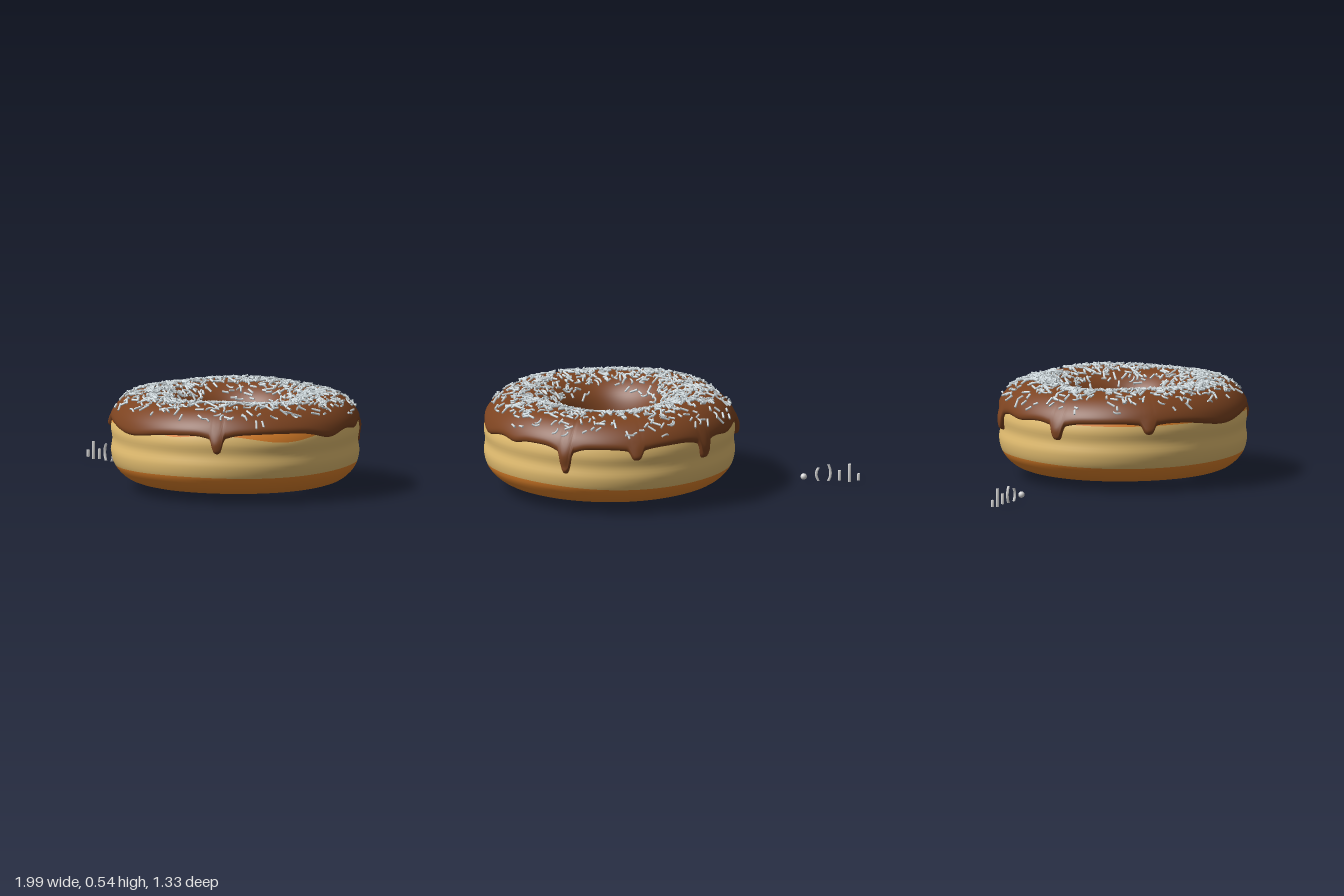
import * as THREE from 'three';
import { mergeGeometries } from 'three/addons/utils/BufferGeometryUtils.js';

const CX = 0.328; // ring centre in x
const DEG = Math.PI / 180;

// Closed dough section (radius, height): underside, outer wall, top, hole
const section = new THREE.CatmullRomCurve3([
  [0.45, 0.037], [0.56, 0.06], [0.63, 0.125], [0.652, 0.2], [0.645, 0.265], [0.652, 0.33],
  [0.625, 0.41], [0.55, 0.475], [0.45, 0.497], [0.36, 0.48], [0.285, 0.42], [0.25, 0.33],
  [0.245, 0.25], [0.26, 0.16], [0.31, 0.08], [0.38, 0.045],
].map(([r, y]) => new THREE.Vector3(r, y, 0)), true);
const N = 16;

// Point on the ring at section position k, angle a (0 = front, 90 deg = +x), lifted by off
function ringPoint(k, a, off = 0) {
  const t = (((k / N) % 1) + 1) % 1;
  const p = section.getPoint(t), d = section.getTangent(t);
  const r = p.x + d.y * off;
  const y = (p.y - d.x * off) * (1 - 0.01 * Math.cos(4 * a) - 0.006 * Math.sin(a));
  return new THREE.Vector3(CX + 1.018 * r * Math.sin(a), y, r * Math.cos(a));
}

// Surface from loops of points; columns wrap round the ring
function ringSurface(cols, rows, pointAt, groupOf) {
  const pos = [], buckets = [[], []];
  for (let j = 0; j <= rows; j++)
    for (let i = 0; i < cols; i++) pos.push(...pointAt(i / cols * Math.PI * 2, j).toArray());
  const wrapRows = !!groupOf; // a full section closes on itself
  for (let j = 0; j < rows; j++) {
    const up = wrapRows && j === rows - 1 ? 0 : j + 1;
    for (let i = 0; i < cols; i++) {
      const n = (i + 1) % cols;
      const a = j * cols + i, b = j * cols + n, c = up * cols + n, d = up * cols + i;
      buckets[groupOf ? groupOf(j) : 0].push(a, b, c, a, c, d);
    }
  }
  const g = new THREE.BufferGeometry();
  g.setAttribute('position', new THREE.Float32BufferAttribute(pos, 3));
  g.setIndex(buckets.flat());
  if (groupOf) {
    g.addGroup(0, buckets[0].length, 0);
    g.addGroup(buckets[0].length, buckets[1].length, 1);
  }
  g.computeVertexNormals();
  return g;
}

const angleGap = (a, deg) => {
  const d = a - deg * DEG;
  return Math.atan2(Math.sin(d), Math.cos(d));
};
// Sum of smooth bumps [angle in degrees, size, angular half width]
const bumps = (list, a) =>
  list.reduce((sum, [deg, size, w]) => sum + size * Math.exp(-((angleGap(a, deg) / w) ** 2)), 0);

const drips = [
  [45, 1.35, 0.045], [-46, 0.75, 0.05], [-90, 1.3, 0.05], [-135, 1.5, 0.05],
  [-171, 0.8, 0.05], [156, 2.05, 0.045],
];
const sags = [[-4, 0.35, 0.28], [103, 0.35, 0.16], [127, 0.2, 0.1], [-115, 0.2, 0.15], [75, -0.18, 0.4]];

// Length and swelling of the drips at an angle
function dripAt(a) {
  let length = bumps(sags, a), bulge = 0;
  for (const [deg, len, w] of drips) {
    const q = angleGap(a, deg) / w;
    length += len * (0.8 * Math.exp(-(q ** 4)) + 0.2 * Math.exp(-q * q / 6));
    bulge += Math.exp(-q * q);
  }
  return { length, bulge };
}

// Icing hugs the dough, with rounded edges and thicker drips
function icingPoint(a, j, rows) {
  const { length, bulge } = dripAt(a);
  const kOut = 5.45 - length;
  const kIn = 11.05 + 0.25 * Math.cos(a - 40 * DEG) + 0.12 * Math.sin(3 * a + 1);
  const s = j / rows;
  const k = kOut + (kIn - kOut) * (0.5 - 0.5 * Math.cos(Math.PI * s)); // finer rows at both edges
  const e = Math.min(1, Math.min(k - kOut, kIn - k) / 0.35);
  const low = THREE.MathUtils.clamp((5.8 - k) / 0.8, 0, 1);
  const off = -0.004 + (0.02 + 0.009 * bulge * low) * Math.sqrt(Math.max(0, 1 - (1 - e) ** 2));
  return ringPoint(k, a, off);
}

// Dough rows; the pale band's upper edge dips where crust shows below the icing
const crustDips = [[78, 0.45, 0.32], [25, 0.22, 0.18]];
function doughPoint(a, j) {
  const wobble = 0.13 * Math.sin(a - 0.5) + 0.07 * Math.sin(3 * a + 1);
  const nearTop = Math.max(0, 1 - Math.abs(j - 22) / 8);
  return ringPoint(j / 4 + wobble - bumps(crustDips, a) * nearTop, a);
}

// Straight or bent rod along y
function rod(radius, height, bend = 0) {
  const g = new THREE.CylinderGeometry(radius, radius, height, 6, bend ? 4 : 1);
  const p = g.attributes.position;
  for (let i = 0; i < p.count; i++) p.setX(i, p.getX(i) + bend * ((2 * p.getY(i) / height) ** 2 - 0.5));
  g.computeVertexNormals();
  return g;
}

function seeded(seed) {
  return () => {
    seed = (seed * 1664525 + 1013904223) >>> 0;
    return seed / 4294967296;
  };
}

// Sprinkles lying at random over the icing top
function scatterSprinkles(count) {
  const rand = seeded(7);
  const kinds = [rod(0.006, 0.026), rod(0.006, 0.048), rod(0.006, 0.036), rod(0.0055, 0.042, 0.008)];
  const list = [], up = new THREE.Vector3(0, 1, 0);
  for (let i = 0; i < count; i++) {
    const a = rand() * Math.PI * 2;
    const k = 8.1 + (rand() + rand() - 1) * 2.2;
    const p = ringPoint(k, a, 0.021);
    const along = ringPoint(k, a + 0.01, 0.021).sub(p).normalize();
    const across = ringPoint(k + 0.02, a, 0.021).sub(p).normalize();
    const normal = along.clone().cross(across);
    const spin = rand() * Math.PI * 2;
    const dir = along.multiplyScalar(Math.cos(spin)).addScaledVector(across, Math.sin(spin))
      .addScaledVector(normal, (rand() - 0.5) * 0.5).normalize();
    const turn = new THREE.Quaternion().setFromUnitVectors(up, dir);
    const g = kinds[Math.floor(rand() * kinds.length)].clone();
    list.push(g.applyMatrix4(new THREE.Matrix4().compose(p, turn, new THREE.Vector3(1, 1, 1))));
  }
  return mergeGeometries(list);
}

export function createModel() {
  const model = new THREE.Group();
  const material = (name, color) => {
    const m = new THREE.MeshStandardMaterial({ color });
    m.name = name;
    return m;
  };
  const crust = material('fried crust', 0xe6862c);
  const paleDough = material('pale dough', 0xe6c072);
  const chocolate = material('chocolate', 0x7c4320);
  const sugar = material('silver sugar', 0xd0dade);
  const plain = material('plain sugar', 0xdcdcdc);
  const add = (name, geometry, mat, parent = model) => {
    const mesh = new THREE.Mesh(geometry, mat);
    mesh.name = name;
    parent.add(mesh);
    return mesh;
  };

  // Dough with a pale band round the outer wall
  add('dough', ringSurface(160, 64, doughPoint, (j) => (j >= 9 && j < 22 ? 1 : 0)), [crust, paleDough]);
  add('icing', ringSurface(480, 48, (a, j) => icingPoint(a, j, 48)), chocolate);
  add('sprinkles', scatterSprinkles(1000), sugar);

  // Row of loose sprinkles beside the ring
  const loose = new THREE.Group();
  loose.name = 'looseSprinkles';
  model.add(loose);
  [
    ['shortRod', -0.991, 0.025, rod(0.009, 0.036)],
    ['longRod', -0.943, 0.048, rod(0.009, 0.096)],
    ['mediumRod', -0.89, 0.035, rod(0.009, 0.055)],
    ['curvedRod', -0.837, 0.05, rod(0.008, 0.088, 0.011)],
    ['curvedRodMirrored', -0.772, 0.043, rod(0.008, 0.07, -0.011)],
    ['ball', -0.7, 0.032, new THREE.SphereGeometry(0.017, 16, 12)],
  ].forEach(([name, x, y, g]) => add(name, g, plain, loose).position.set(x, y, 0));

  return model;
}
